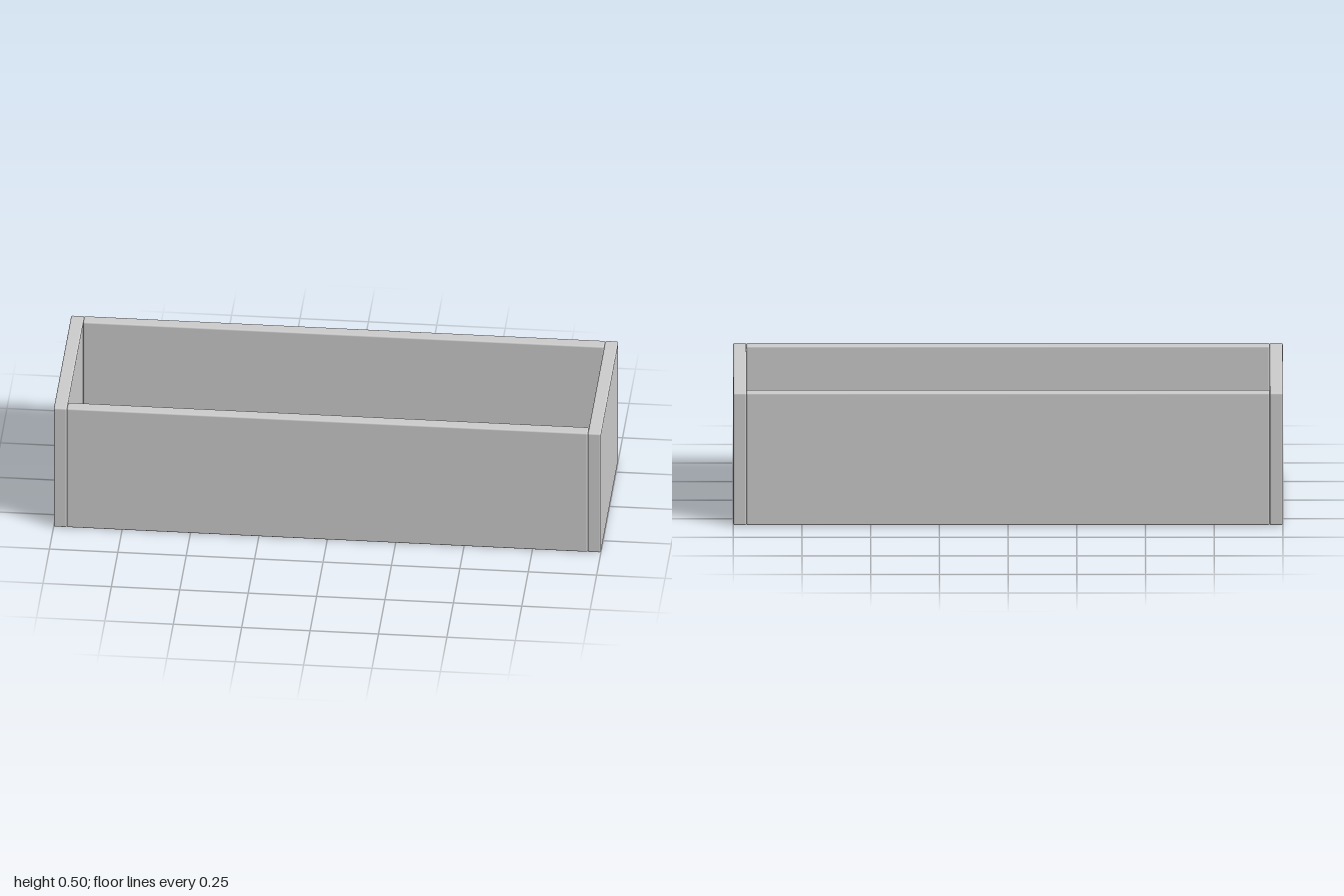
import * as THREE from 'three';
import { RoundedBoxGeometry } from 'three/addons/geometries/RoundedBoxGeometry.js';

export function createModel() {
  const group = new THREE.Group();
  const material = new THREE.MeshStandardMaterial({ color: 0xcccccc });
  const length = 2, height = 0.5, depth = 0.678, board = 0.048, edge = 0.006;

  // One board with slightly eased edges
  function addBoard(name, w, h, d, x, y, z) {
    const mesh = new THREE.Mesh(new RoundedBoxGeometry(w, h, d, 3, edge), material);
    mesh.name = name;
    mesh.position.set(x, y, z);
    group.add(mesh);
  }

  const innerLength = length - 2 * board;
  const innerDepth = depth - 2 * board;

  // End boards run the full depth
  for (const [name, s] of [['leftEnd', 1], ['rightEnd', -1]]) {
    addBoard(name, board, height, depth, s * (length - board) / 2, height / 2, 0);
  }

  // Long boards fit between the ends
  for (const [name, s] of [['frontPanel', 1], ['backPanel', -1]]) {
    addBoard(name, innerLength, height, board, 0, height / 2, s * (depth - board) / 2);
  }

  // Floor sits inside the four walls
  addBoard('floor', innerLength, board, innerDepth, 0, board / 2, 0);

  return group;
}
